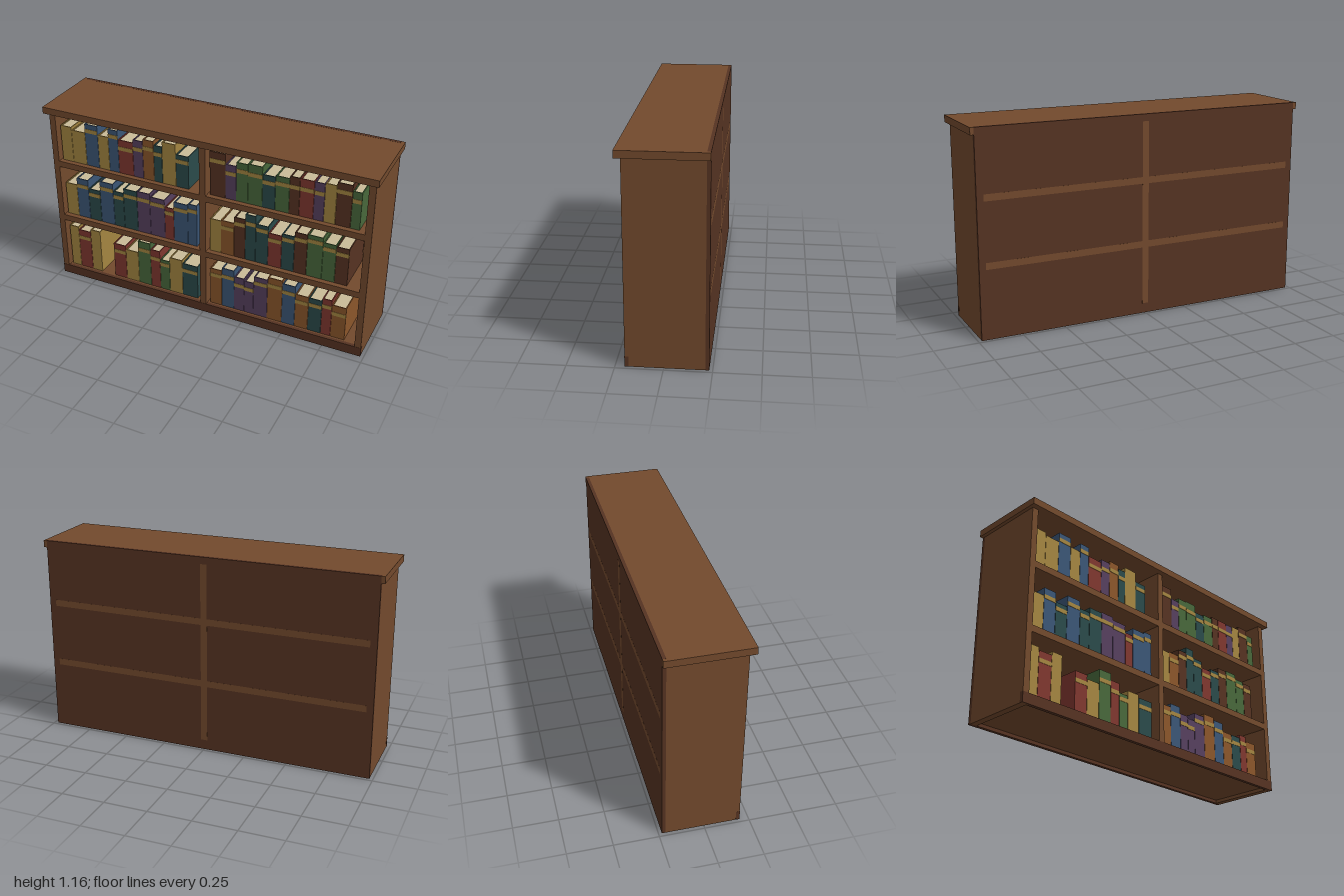
import * as THREE from 'three';

const material = (name, color) => {
  const m = new THREE.MeshStandardMaterial({ color });
  m.name = name;
  return m;
};
const wood = material('wood', 0x734a2d);
const darkWood = material('darkWood', 0x563322);
const pages = material('pages', 0xcabb98);
const gold = material('gold', 0xa48541);
const covers = {
  y: gold,
  d: darkWood,
  r: material('red', 0x80372f),
  b: material('blue', 0x3b5676),
  g: material('green', 0x48683b),
  t: material('teal', 0x2b4a4a),
  p: material('purple', 0x56405f),
  o: material('orange', 0x8b562b),
};

// Box given by its extents on each axis
function box(name, mat, [x0, x1], [y0, y1], [z0, z1]) {
  const mesh = new THREE.Mesh(new THREE.BoxGeometry(x1 - x0, y1 - y0, z1 - z0), mat);
  mesh.name = name;
  mesh.position.set((x0 + x1) / 2, (y0 + y1) / 2, (z0 + z1) / 2);
  return mesh;
}

const STEP = 0.00535; // unit for book sizes
const FRONT = 0.17;   // plane of the spines
const BACK = -0.1;

// Book: spine, two covers, recessed page block and a gold band
function book(mat, x, y, w, h, bandDrop) {
  const g = new THREE.Group();
  g.name = 'book';
  const t = 0.006;
  const x1 = x + w - 0.002;
  const top = y + h;
  g.add(
    box('spine', mat, [x, x1], [y, top], [FRONT - t, FRONT]),
    box('cover', mat, [x, x + t], [y, top], [BACK, FRONT - t]),
    box('cover', mat, [x1 - t, x1], [y, top], [BACK, FRONT - t]),
    box('pages', pages, [x + t, x1 - t], [y + 0.004, top - 0.006], [BACK + 0.006, FRONT - t]),
  );
  if (bandDrop) {
    const c = top - bandDrop;
    g.add(box('spineBand', gold, [x, x1], [c - 0.012, c + 0.012], [FRONT, FRONT + 0.002]));
  }
  return g;
}

// Row of books from left to right; '-' leaves a gap
function bookRow(x, y, colours, widths, heights, drops) {
  const row = new THREE.Group();
  row.name = 'bookRow';
  [...colours].forEach((c, i) => {
    const w = widths[i] * STEP;
    if (c !== '-') row.add(book(covers[c], x, y, w, heights[i] * STEP, drops[i] * STEP));
    x += w;
  });
  return row;
}

export function createModel() {
  const model = new THREE.Group();
  model.name = 'bookcase';

  // Carcass
  const depth = [-0.2325, 0.2];
  model.add(
    box('topBoard', wood, [-1, 1], [1.115, 1.155], [-0.232, 0.232]),
    box('backPanel', darkWood, [-0.98, 0.98], [0, 1.1555], [-0.2322, -0.212]),
    box('plinth', darkWood, [-0.981, 0.981], [0, 0.058], [0.18, 0.201]),
    box('bottomBoard', wood, [-0.942, 0.942], [0.02, 0.058], [-0.212, 0.18]),
    box('centreDivider', wood, [-0.019, 0.019], [0.058, 1.115], depth),
  );
  for (const s of [-1, 1]) {
    const edges = [0.942 * s, 0.98 * s].sort((a, b) => a - b);
    model.add(box('sidePanel', wood, edges, [0, 1.115], [-0.212, 0.2]));
    const bay = [0.019 * s, 0.942 * s].sort((a, b) => a - b);
    for (const y of [0.393, 0.764]) model.add(box('shelf', wood, bay, [y, y + 0.038], depth));
  }

  // Books, two bays on three levels
  const L = -0.931, R = 0.033;
  const low = 0.058, mid = 0.431, high = 0.802;
  model.add(
    bookRow(L, low, 'yry-rygrgyt',
      [12, 16, 13, 17, 16, 16, 16, 12, 12, 16, 19],
      [53, 50, 54, 0, 44, 40, 56, 49, 39, 45, 42],
      [0, 10, 0, 0, 9.5, 0, 11, 11, 6, 0, 9]),
    bookRow(R, low, 'obpppobotro',
      [14, 15, 12, 11, 16, 17, 15, 15, 15, 11, 16],
      [46, 50, 43, 41, 50, 54, 51, 42, 42, 46, 41],
      [8, 10.5, 10.5, 10, 8, 10, 10.5, 9, 8.5, 9.5, 10.5]),
    bookRow(L, mid, 'ybtbttpprbb',
      [15, 15, 15, 17, 13, 17, 16, 18, 11, 17, 11],
      [40, 49, 39, 52, 44, 50, 51, 48, 40, 49, 51],
      [0, 9.5, 7, 8.5, 7, 8.5, 9.5, 8, 7, 8.5, 8]),
    bookRow(R, mid, 'yodttrtdggd',
      [13, 15, 13, 12, 14, 15, 14, 14, 17, 14, 14],
      [40, 41, 49, 56, 47, 40, 43, 49, 50, 45, 44],
      [0, 8.5, 7.5, 11, 6.5, 8, 6, 8, 7, 7, 8]),
    bookRow(L, high, 'yybybrpotyt',
      [14, 17, 16, 13, 12, 18, 12, 13, 10, 16, 15],
      [42, 39, 50, 40, 50, 40, 44, 47, 43, 49, 38],
      [0, 0, 8, 0, 8, 10, 10.5, 10, 10, 0, 7.5]),
    bookRow(R, high, 'dpggtgdrpydg',
      [18, 12, 13, 16, 14, 15, 11, 15, 11, 12, 16, 10],
      [51, 40, 45, 46, 38, 40, 43, 43, 43, 44, 48, 42],
      [10, 10, 9.5, 11.5, 8.5, 8.5, 11.5, 11.5, 12, 0, 9.5, 10.5]),
  );
  return model;
}
